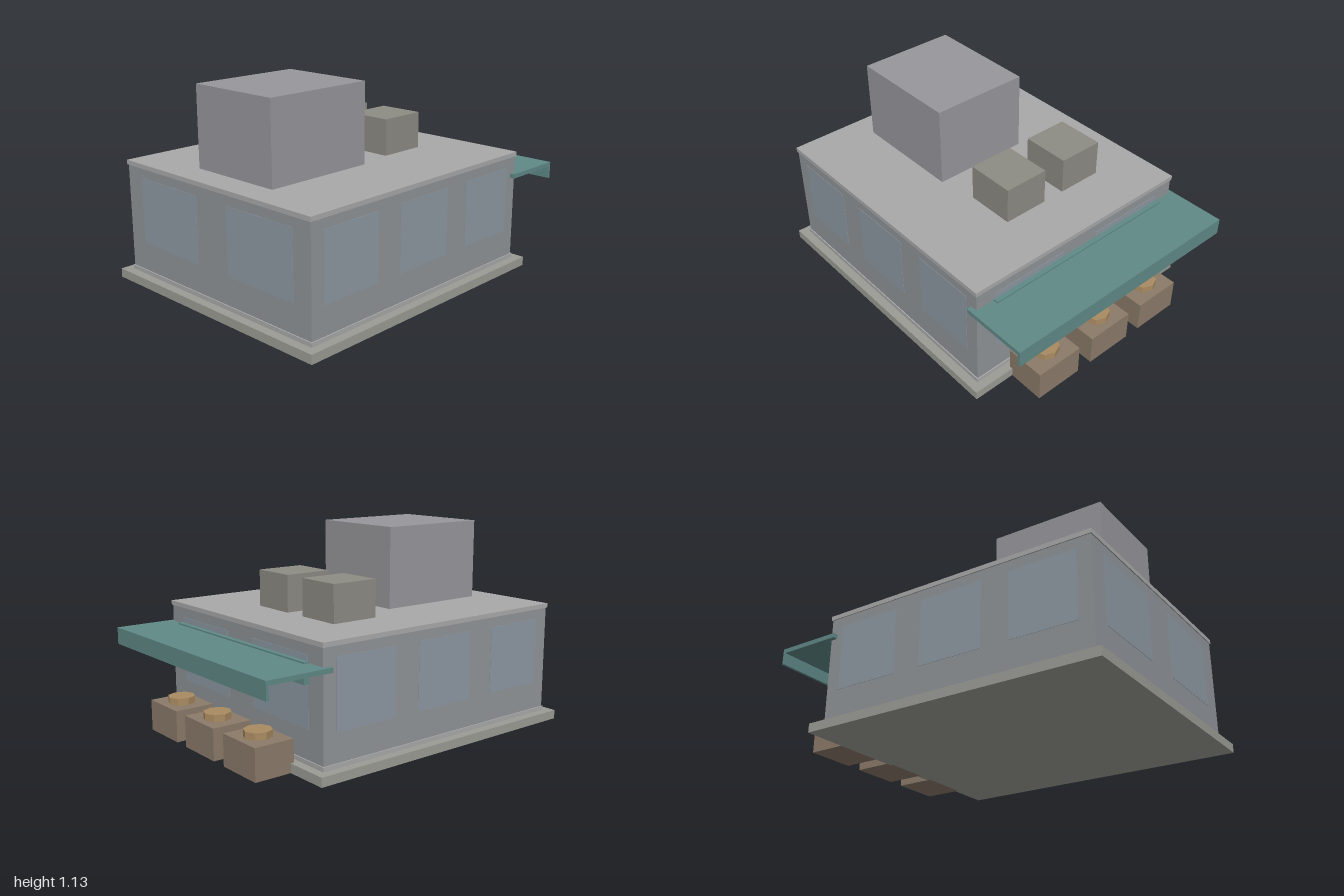
import * as THREE from 'three';

const mat = (color) => new THREE.MeshStandardMaterial({ color, flatShading: true });
const M = {
  base: mat(0x9c9c96),
  wall: mat(0x8f9498),
  trim: mat(0xa9a9a9),
  glass: mat(0x8d98a2),
  plant: mat(0x97979c),
  vent: mat(0x8d8b84),
  awning: mat(0x5f8986),
  crate: mat(0x8b7a69),
  lid: mat(0xa98a60),
};

export function createModel() {
  const model = new THREE.Group();

  // Box given by its extents on each axis
  function box(name, material, [x0, x1], [y0, y1], [z0, z1], parent = model) {
    const mesh = new THREE.Mesh(new THREE.BoxGeometry(x1 - x0, y1 - y0, z1 - z0), material);
    mesh.name = name;
    mesh.position.set((x0 + x1) / 2, (y0 + y1) / 2, (z0 + z1) / 2);
    parent.add(mesh);
    return mesh;
  }

  // Building shell
  box('basePlinth', M.base, [-1, 0.714], [0, 0.05], [-0.763, 0.763]);
  box('walls', M.wall, [-0.945, 0.66], [0.05, 0.66], [-0.708, 0.708]);
  box('lowerTrim', M.trim, [-0.951, 0.666], [0.05, 0.074], [-0.714, 0.714]);
  box('roofSlab', M.trim, [-0.951, 0.666], [0.655, 0.68], [-0.714, 0.714]);

  // Window panes, almost flush with the walls
  const windows = new THREE.Group();
  windows.name = 'windows';
  model.add(windows);
  const t = 0.002, wy = [0.23, 0.6];
  for (const cx of [-0.678, -0.1425, 0.393]) {
    const wx = [cx - 0.188, cx + 0.188];
    box('frontWindow', M.glass, wx, wy, [0.704, 0.708 + t], windows);
    box('backWindow', M.glass, wx, wy, [-0.708 - t, -0.704], windows);
  }
  for (const cz of [-0.354, 0.354]) {
    const wz = [cz - 0.236, cz + 0.236];
    box('leftWindow', M.glass, [0.656, 0.66 + t], wy, wz, windows);
    box('rightWindow', M.glass, [-0.945 - t, -0.941], wy, wz, windows);
  }

  // Rooftop units
  box('roofHousing', M.plant, [-0.79, -0.132], [0.68, 1.13], [-0.284, 0.284]);
  for (const cz of [-0.284, 0.113]) {
    box('roofVent', M.vent, [0.085, 0.365], [0.68, 0.885], [cz - 0.132, cz + 0.132]);
  }

  // Awning with its hanging lip and wall rail
  const awning = new THREE.Group();
  awning.name = 'awning';
  model.add(awning);
  box('awningCanopy', M.awning, [0.62, 1], [0.535, 0.56], [-0.735, 0.735], awning);
  box('awningLip', M.awning, [0.985, 1], [0.465, 0.56], [-0.735, 0.735], awning);
  box('awningWallRail', M.awning, [0.66, 0.69], [0.457, 0.568], [-0.6, 0.6], awning);

  // Crates, each with an octagonal lid
  for (const cz of [-0.376, 0, 0.376]) {
    const crate = new THREE.Group();
    crate.name = 'crate';
    crate.position.set(0.808, 0, cz);
    model.add(crate);
    box('crateBody', M.crate, [-0.113, 0.113], [0, 0.173], [-0.141, 0.141], crate);
    const lid = new THREE.Mesh(new THREE.CylinderGeometry(0.075, 0.075, 0.037, 8), M.lid);
    lid.name = 'crateLid';
    lid.position.y = 0.1915;
    crate.add(lid);
  }

  return model;
}
